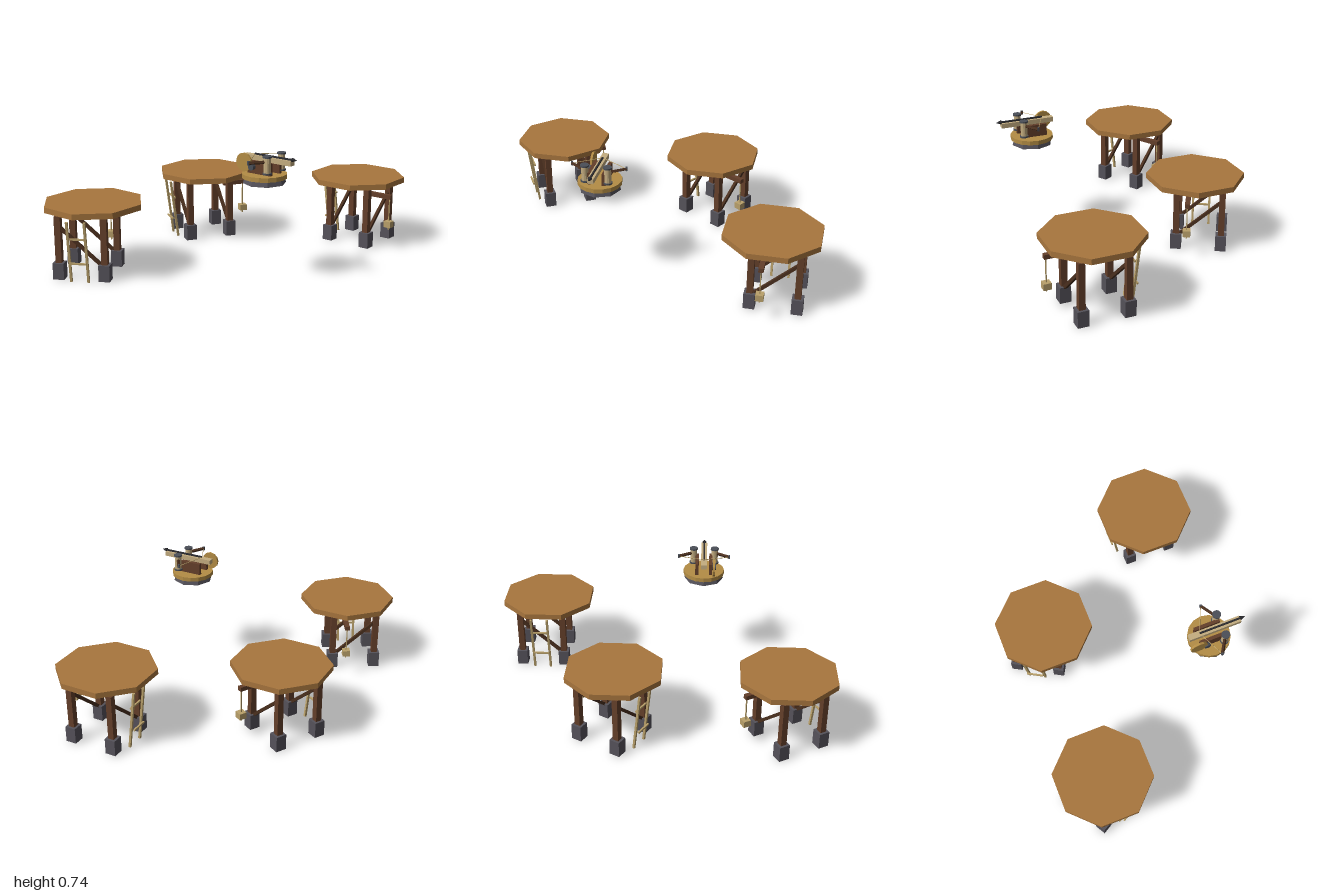
import * as THREE from 'three';

const mat = (color) => new THREE.MeshStandardMaterial({ color, flatShading: true });
const M = {
  deck: mat(0xa8763e), wood: mat(0x643f2a), dark: mat(0x4a2f1e), stone: mat(0x55525a),
  tan: mat(0xb9a06a), pale: mat(0xc4ad80), gold: mat(0xb48d45), iron: mat(0x4b4f58), black: mat(0x2c2c30),
};
const UP = new THREE.Vector3(0, 1, 0);

function add(parent, name, geometry, material, x, y, z) {
  const mesh = new THREE.Mesh(geometry, material);
  mesh.name = name;
  mesh.position.set(x, y, z);
  parent.add(mesh);
  return mesh;
}

const box = (parent, name, material, [w, h, d], [x, y, z]) =>
  add(parent, name, new THREE.BoxGeometry(w, h, d), material, x, y, z);

const cyl = (parent, name, material, rTop, rBottom, h, sides, [x, y, z]) =>
  add(parent, name, new THREE.CylinderGeometry(rTop, rBottom, h, sides), material, x, y, z);

// Square bar running from point a to point b
function bar(parent, name, material, a, b, w, d = w) {
  const p = new THREE.Vector3(...a), q = new THREE.Vector3(...b);
  const dir = q.clone().sub(p);
  const mesh = box(parent, name, material, [w, dir.length(), d], p.clone().add(q).multiplyScalar(0.5).toArray());
  mesh.quaternion.setFromUnitVectors(UP, dir.normalize());
  return mesh;
}

// Scaffold under one platform: legs, braces, ladder and hoist
function makeScaffold() {
  const g = new THREE.Group();
  g.name = 'scaffold';
  const L = 0.1325;
  for (const sx of [-1, 1]) {
    for (const sz of [-1, 1]) {
      box(g, 'leg', M.wood, [0.036, 0.365, 0.036], [sx * L, 0.1825, sz * L]);
      box(g, 'foot', M.stone, [0.064, 0.095, 0.064], [sx * L, 0.0475, sz * L]);
    }
    bar(g, 'brace', M.dark, [sx * L, 0.31, -L], [sx * L, 0.07, L], 0.018);
  }
  // Ladder leaning outward
  for (const sz of [-1, 1])
    bar(g, 'ladderRail', M.tan, [-0.187, 0.002, sz * 0.05], [-0.232, 0.363, sz * 0.05], 0.013);
  box(g, 'ladderRung', M.tan, [0.01, 0.01, 0.1], [-0.22, 0.12, 0]);
  box(g, 'ladderRung', M.tan, [0.01, 0.01, 0.1], [-0.205, 0.256, 0]);
  // Hoist
  box(g, 'hoistArm', M.wood, [0.145, 0.026, 0.028], [0.19, 0.326, 0.065]);
  box(g, 'hoistRope', M.tan, [0.006, 0.2, 0.006], [0.251, 0.217, 0.065]);
  box(g, 'hoistLoad', M.tan, [0.045, 0.038, 0.045], [0.251, 0.154, 0.065]);
  return g;
}

// Bolt thrower on a round turntable, aimed along +x
function makeTurret() {
  const g = new THREE.Group();
  g.name = 'turret';
  cyl(g, 'base', M.stone, 0.11, 0.12, 0.03, 8, [0, 0.585, 0]);
  cyl(g, 'turntable', M.gold, 0.125, 0.125, 0.025, 16, [0, 0.612, 0]);
  for (const s of [-1, 1])
    box(g, 'cheek', M.wood, [0.155, 0.07, 0.02], [0, 0.66, s * 0.042]);
  box(g, 'stock', M.pale, [0.315, 0.028, 0.036], [0.027, 0.704, 0]);
  // Bolt
  box(g, 'boltShaft', M.black, [0.25, 0.009, 0.009], [0.06, 0.723, 0]);
  cyl(g, 'boltTip', M.black, 0, 0.013, 0.032, 6, [0.199, 0.723, 0]).rotation.z = -Math.PI / 2;
  // Winding wheel and its pinion
  cyl(g, 'windingWheel', M.gold, 0.052, 0.052, 0.013, 12, [-0.092, 0.683, 0.062]).rotation.x = Math.PI / 2;
  cyl(g, 'pinion', M.iron, 0.019, 0.019, 0.02, 10, [-0.04, 0.664, 0.064]).rotation.x = Math.PI / 2;
  // Torsion drums, bow arms and string
  for (const s of [-1, 1]) {
    const z = s * 0.065, tip = [0.008, 0.708, s * 0.155];
    cyl(g, 'drum', M.pale, 0.02, 0.02, 0.1, 12, [0.066, 0.688, z]);
    for (const y of [0.642, 0.734])
      cyl(g, 'drumCap', M.iron, 0.025, 0.025, 0.009, 12, [0.066, y, z]);
    bar(g, 'bowArm', M.dark, [0.066, 0.706, z], tip, 0.014);
    box(g, 'bowArmTip', M.iron, [0.012, 0.022, 0.01], tip);
    bar(g, 'bowString', M.tan, tip, [-0.065, 0.722, 0], 0.003);
  }
  return g;
}

export function createModel() {
  const model = new THREE.Group();
  const hub = new THREE.Group();
  hub.name = 'turretAndPlatforms';
  hub.position.set(0.417, 0, 0.243);
  model.add(hub);
  hub.add(makeTurret());

  // Three platforms spaced 60 degrees apart around the turret
  for (const i of [0, 1, 2]) {
    const a = (i * Math.PI) / 3;
    const scaffold = makeScaffold();
    scaffold.rotation.y = a;
    scaffold.position.set(-Math.sin(a) * 1.012, 0, -Math.cos(a) * 1.012);
    hub.add(scaffold);
    const deck = cyl(hub, 'deck', M.deck, 0.2895, 0.2895, 0.033, 8,
      [-Math.sin(a) * 0.975, 0.409, -Math.cos(a) * 0.975]);
    deck.rotation.y = Math.PI / 8;
  }
  return model;
}
